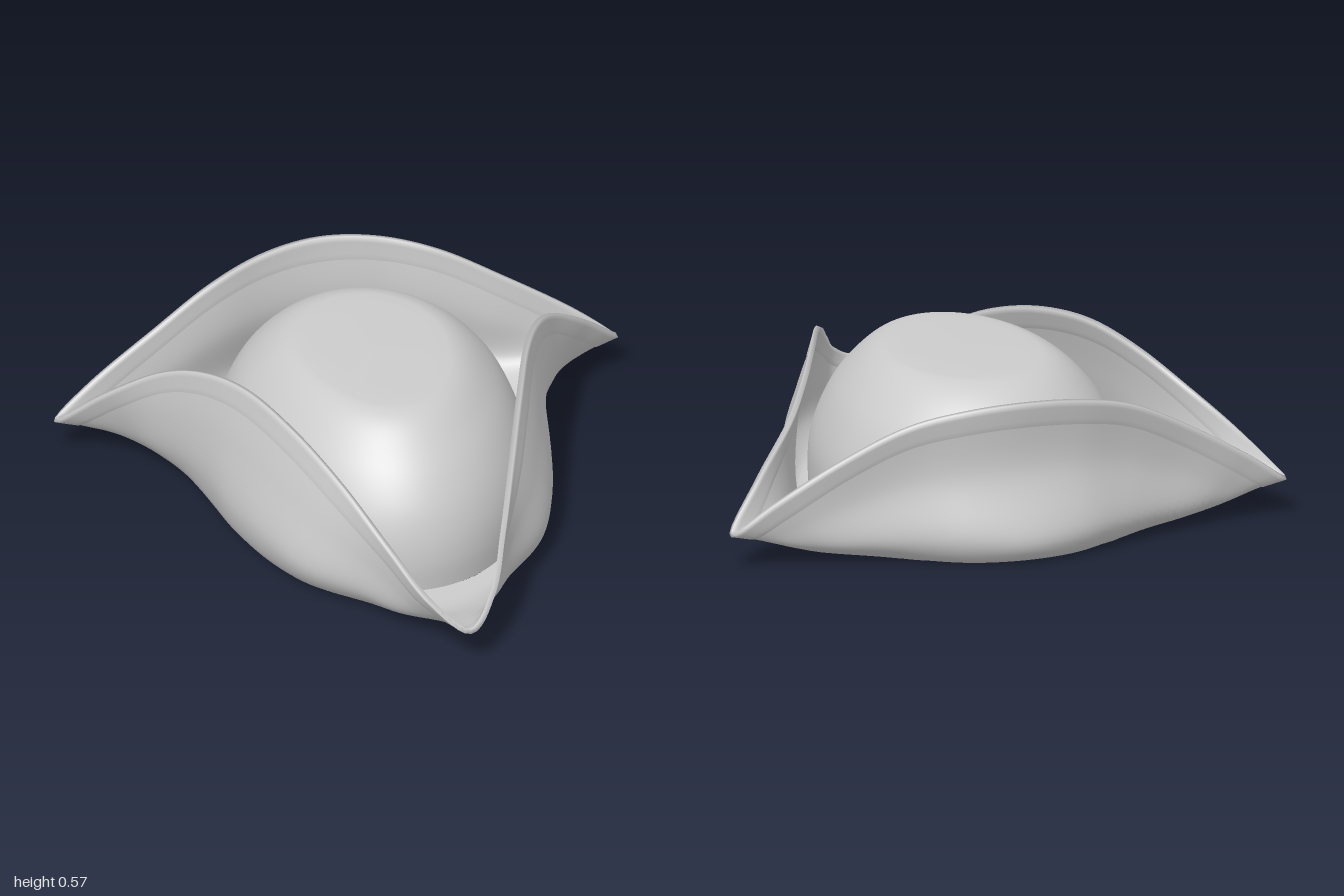
import * as THREE from 'three';

const V = (x, y, z) => new THREE.Vector3(x, y, z);
const SEG = 180;

// Half columns, front to back: rim edge, and the low bulge beneath it
const RIM = [
  [0, .145, .975], [.11, .215, .865], [.2, .325, .67], [.3, .45, .42], [.4, .53, .16],
  [.5, .555, -.1], [.6, .51, -.31], [.7, .43, -.46], [.86, .285, -.6], [.995, .135, -.72],
  [.86, .235, -.757], [.62, .385, -.798], [.4, .5, -.852], [.2, .553, -.907], [0, .57, -.93],
];
const BULGE = [
  [0, .06, .75], [.15, .06, .68], [.26, .08, .56], [.425, .1, .38], [.513, .12, .18],
  [.573, .12, -.05], [.603, .12, -.24], [.65, .11, -.41], [.72, .08, -.57], [.77, .06, -.695],
  [.68, .06, -.75], [.5, .07, -.815], [.36, .08, -.875], [.19, .08, -.948], [0, .07, -.978],
];

// Point on an egg-shaped outline, widest towards the back
function egg(a, y, halfWidth, front, back) {
  const mid = back + (front - back) * 0.43;
  const c = Math.cos(a);
  return V(halfWidth * Math.sin(a), y, mid + c * (c > 0 ? front - mid : mid - back));
}

// Smooth skin over a stack of closed rings
function loft(rings) {
  const n = rings[0].length, index = [];
  for (let r = 0; r < rings.length - 1; r++) {
    for (let i = 0; i < n; i++) {
      const a = r * n + i, b = r * n + (i + 1) % n;
      index.push(a, b, a + n, b, b + n, a + n);
    }
  }
  const geo = new THREE.BufferGeometry().setFromPoints(rings.flat());
  geo.setIndex(index);
  geo.computeVertexNormals();
  return geo;
}

// Five points of one brim section: opening, floor, bulge, wall, rim
function section(k) {
  const rim = V(...RIM[k]), bulge = V(...BULGE[k]);
  const dz = bulge.z + 0.3;
  const inner = egg(Math.atan2(bulge.x / 0.52, dz / (dz > 0 ? 0.75 : 0.57)), 0.004, 0.52, 0.465, -0.885);
  const floor = inner.clone().lerp(bulge, 0.5).setY((0.12 - bulge.y) * 0.1 + 0.002);
  const wall = bulge.clone().lerp(rim, 0.52);
  if (k > 10) wall.z += 0.045 * (1 - rim.x);
  else if (k > 2 && k < 8) wall.x += 0.012;
  return [inner, floor, bulge, wall, rim];
}

// Rings of the brim from the opening to the rim
function brimRings(rows) {
  const half = RIM.map((_, k) => section(k));
  const mirrored = half.slice(1, -1).reverse().map(s => s.map(p => V(-p.x, p.y, p.z)));
  const columns = half.concat(mirrored);
  const levels = [0, 1, 2, 3, 4].map(j => new THREE.CatmullRomCurve3(columns.map(c => c[j]), true));
  const rings = Array.from({ length: rows + 1 }, () => []);
  for (let i = 0; i < SEG; i++) {
    const curve = new THREE.CatmullRomCurve3(levels.map(l => l.getPoint(i / SEG)));
    curve.getSpacedPoints(rows).forEach((p, r) => rings[r].push(p));
  }
  return rings;
}

export function createModel() {
  const hat = new THREE.Group();
  hat.name = 'threeCorneredHat';
  const material = new THREE.MeshStandardMaterial({ color: 0xcccccc, side: THREE.DoubleSide });
  const add = (name, geo) => {
    const mesh = new THREE.Mesh(geo, material);
    mesh.name = name;
    hat.add(mesh);
  };

  // Crown: open below, domed shoulder, nearly flat top [y, half width, front z, back z]
  const profile = [
    [.004, .52, .465, -.885], [.1, .525, .472, -.892], [.2, .52, .46, -.882], [.3, .49, .425, -.855],
    [.4, .44, .36, -.8], [.48, .375, .28, -.725], [.53, .315, .215, -.655], [.553, .26, .155, -.59],
    [.557, .21, .1, -.53], [.562, 0, -.22, -.22],
  ];
  const tracks = [0, 1, 2, 3].map(j => profile.map(p => p[j]));
  const crownRings = [];
  for (let r = 0; r <= 36; r++) {
    const t = r / 36 * (profile.length - 1), i = Math.min(Math.floor(t), profile.length - 2), f = t - i;
    const at = tr => {
      const a = tr[Math.max(i - 1, 0)], b = tr[i], c = tr[i + 1], d = tr[Math.min(i + 2, tr.length - 1)];
      return b + 0.5 * f * (c - a + f * (2 * a - 5 * b + 4 * c - d + f * (3 * (b - c) + d - a)));
    };
    // the cap is straight, the wall is smoothed
    const [y, w, front, back] = i >= profile.length - 3
      ? tracks.map(tr => tr[i] + (tr[i + 1] - tr[i]) * f) : tracks.map(at);
    crownRings.push(Array.from({ length: SEG }, (_, k) => egg(k / SEG * Math.PI * 2, y, w, front, back)));
  }
  add('crown', loft(crownRings));

  // Brim: turned up on three sides
  const rows = 28, bandRows = 4;
  const rings = brimRings(rows);
  const brim = loft(rings);
  add('brim', brim);

  // Binding: thin band folded over the rim, tapering into the brim
  const normals = brim.getAttribute('normal');
  const bandRing = (k, side) => {
    const r = rows - bandRows + k, d = side * (0.003 + 0.006 * k / bandRows);
    return rings[r].map((p, i) => p.clone().addScaledVector(V(0, 0, 0).fromBufferAttribute(normals, r * SEG + i), d));
  };
  const band = [rings[rows - bandRows]];
  for (let k = 0; k <= bandRows; k++) band.push(bandRing(k, 1));
  for (let k = bandRows; k >= 0; k--) band.push(bandRing(k, -1));
  band.push(rings[rows - bandRows]);
  add('rimBinding', loft(band));

  return hat;
}
